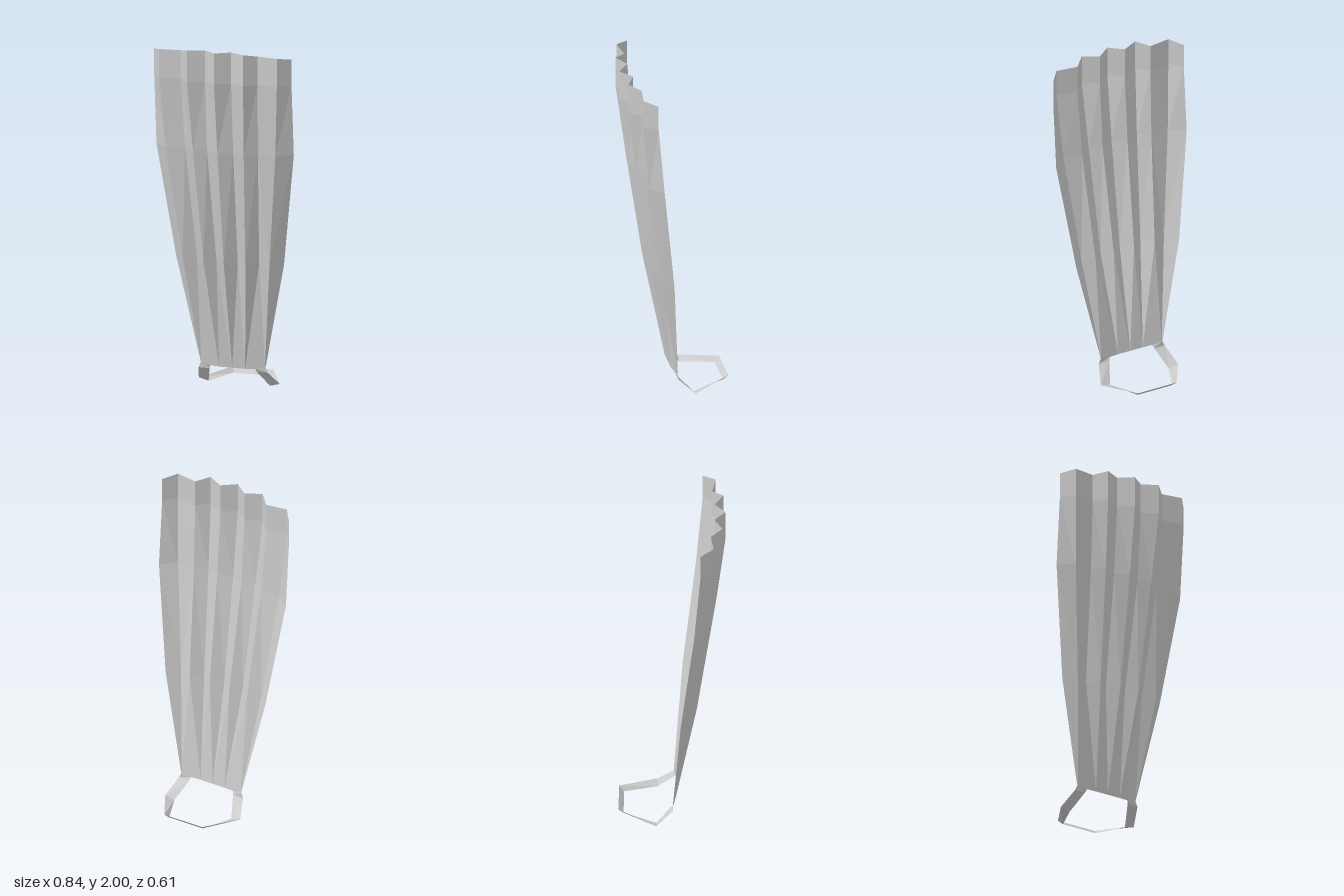
import * as THREE from 'three';

const material = new THREE.MeshStandardMaterial({ color: 0xcccccc, flatShading: true, side: THREE.DoubleSide });

// Open sheet from rows of points; the diagonals alternate so each pleat is symmetric.
function sheet(rows, name) {
  const positions = rows.flat(2);
  const n = rows[0].length;
  const index = [];
  for (let r = 0; r < rows.length - 1; r++) {
    for (let c = 0; c < n - 1; c++) {
      const a = r * n + c, b = a + 1, d = a + n, e = d + 1;
      if (c % 2) index.push(a, b, e, a, e, d);
      else index.push(a, b, d, b, e, d);
    }
  }
  const geometry = new THREE.BufferGeometry();
  geometry.setAttribute('position', new THREE.Float32BufferAttribute(positions, 3));
  geometry.setIndex(index);
  const flat = geometry.toNonIndexed();
  flat.computeVertexNormals();
  const mesh = new THREE.Mesh(flat, material);
  mesh.name = name;
  return mesh;
}

const mirror = ([x, y, z]) => [-x, y, z];

// Half rows run from the outer edge to the centre pleat; mirror them to full width.
function mirrorRow(half) {
  return [...half.map(mirror), ...half.slice(0, -1).reverse()];
}

export function createModel() {
  const group = new THREE.Group();
  group.name = 'pleatedCape';

  // Pleat cross-sections from the gathered end to the wide hem
  const wide = [[0.42, 0.165], [0.36, 0.24], [0.235, 0.222], [0.172, 0.287], [0.08, 0.24], [0, 0.302]];
  const hemY = [1.97, 1.985, 1.985, 2, 2, 2];
  const rows = [
    [[0.2, 0.14, 0.006], [0.195, 0.13, 0.008], [0.137, 0.12, 0.015], [0.08, 0.117, 0.022], [0.04, 0.117, 0.022], [0, 0.117, 0.022]],
    [[0.33, 0.75, 0.053], [0.265, 0.75, 0.115], [0.19, 0.75, 0.085], [0.128, 0.75, 0.142], [0.065, 0.75, 0.1], [0, 0.75, 0.152]],
    [[0.42, 1.41, 0.13], [0.335, 1.41, 0.2], [0.223, 1.41, 0.187], [0.155, 1.41, 0.235], [0.08, 1.41, 0.208], [0, 1.41, 0.25]],
    wide.map(([x, z]) => [x, 1.82, z]),
    wide.map(([x, z], i) => [x, hemY[i], z]),
  ];
  group.add(sheet(rows.map(mirrorRow), 'capeCloth'));

  // Flat neck strap looping behind, as outer and inner edge pairs
  const half = [
    [[0.197, 0.135, 0.007], [0.137, 0.12, 0.015]],
    [[0.212, 0.1, 0.005], [0.145, 0.1, 0.005]],
    [[0.248, 0.02, -0.088], [0.188, 0.005, -0.088]],
    [[0.125, 0.05, -0.305], [0.11, 0.02, -0.276]],
  ];
  const strap = [...half, ...half.map((pair) => pair.map(mirror)).reverse()];
  group.add(sheet(strap, 'neckStrap'));

  return group;
}
